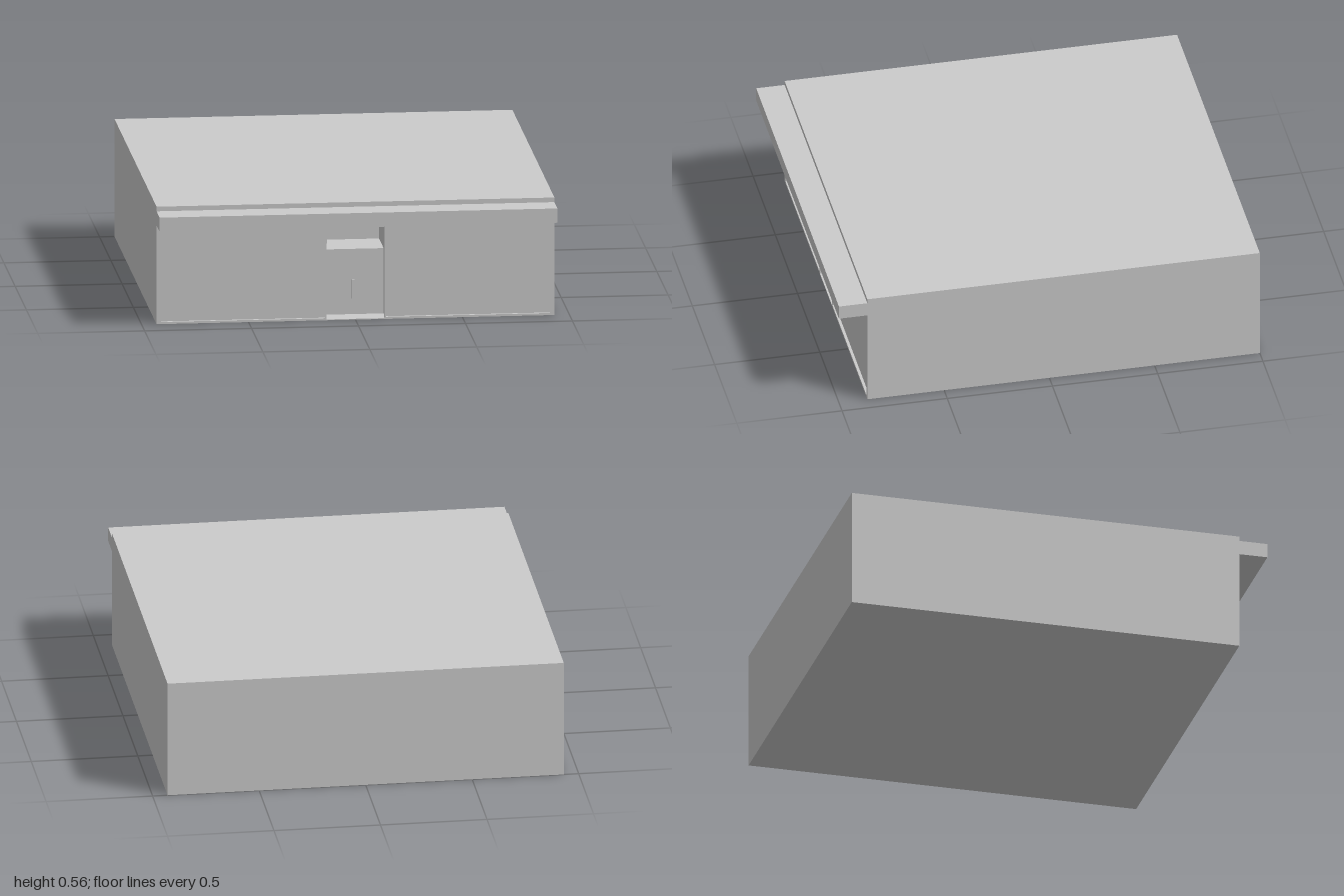
import * as THREE from 'three';

const material = new THREE.MeshStandardMaterial({ color: 0xcccccc, flatShading: true });

// Box given by its minimum and maximum corners
function block(parent, name, [x0, y0, z0], [x1, y1, z1]) {
  const mesh = new THREE.Mesh(new THREE.BoxGeometry(x1 - x0, y1 - y0, z1 - z0), material);
  mesh.name = name;
  mesh.position.set((x0 + x1) / 2, (y0 + y1) / 2, (z0 + z1) / 2);
  parent.add(mesh);
  return mesh;
}

export function createModel() {
  const model = new THREE.Group();
  model.name = 'shopBuilding';

  const W = 0.93, H = 0.56, back = -1, front = 0.865;
  const head = 0.47;      // underside of the fascia
  const entry = 0.142;    // half width of the entrance recess
  const recess = 0.56;    // back of the entrance recess
  const glass = 0.852;    // front of the window panes

  // Main volume and the fascia above the shopfront
  block(model, 'mainBuilding', [-W, 0, back], [W, H, recess]);
  block(model, 'fascia', [-W, head, recess], [W, H, front]);
  block(model, 'canopy', [-W, head, front], [W, 0.538, 1]);

  // Shop windows with thin frames on both sides of the entrance
  for (const side of [-1, 1]) {
    const bay = new THREE.Group();
    bay.name = side < 0 ? 'rightWindowBay' : 'leftWindowBay';
    const span = (name, a, b, y0, y1, z0, z1) =>
      block(bay, name, [Math.min(side * a, side * b), y0, z0], [Math.max(side * a, side * b), y1, z1]);
    span('windowPane', entry, W, 0, head, recess, glass);
    span('cornerPost', 0.91, W, 0, head, glass, front);
    span('entrancePost', entry - 0.006, entry, 0, head, glass - 0.01, front);
    span('windowSill', entry, 0.91, 0, 0.01, glass, front);
    model.add(bay);
  }

  // Recessed entrance: door block, ledge box and handle
  const entrance = new THREE.Group();
  entrance.name = 'entrance';
  block(entrance, 'threshold', [-entry, 0, recess], [entry, 0.004, front]);
  block(entrance, 'door', [-entry, 0, recess], [entry, 0.315, 0.765]);
  block(entrance, 'ledgeBox', [-entry, 0.315, recess], [-0.11, 0.355, 0.64]);
  block(entrance, 'doorHandle', [-0.01, 0.08, 0.765], [0.005, 0.172, 0.778]);
  model.add(entrance);

  return model;
}
